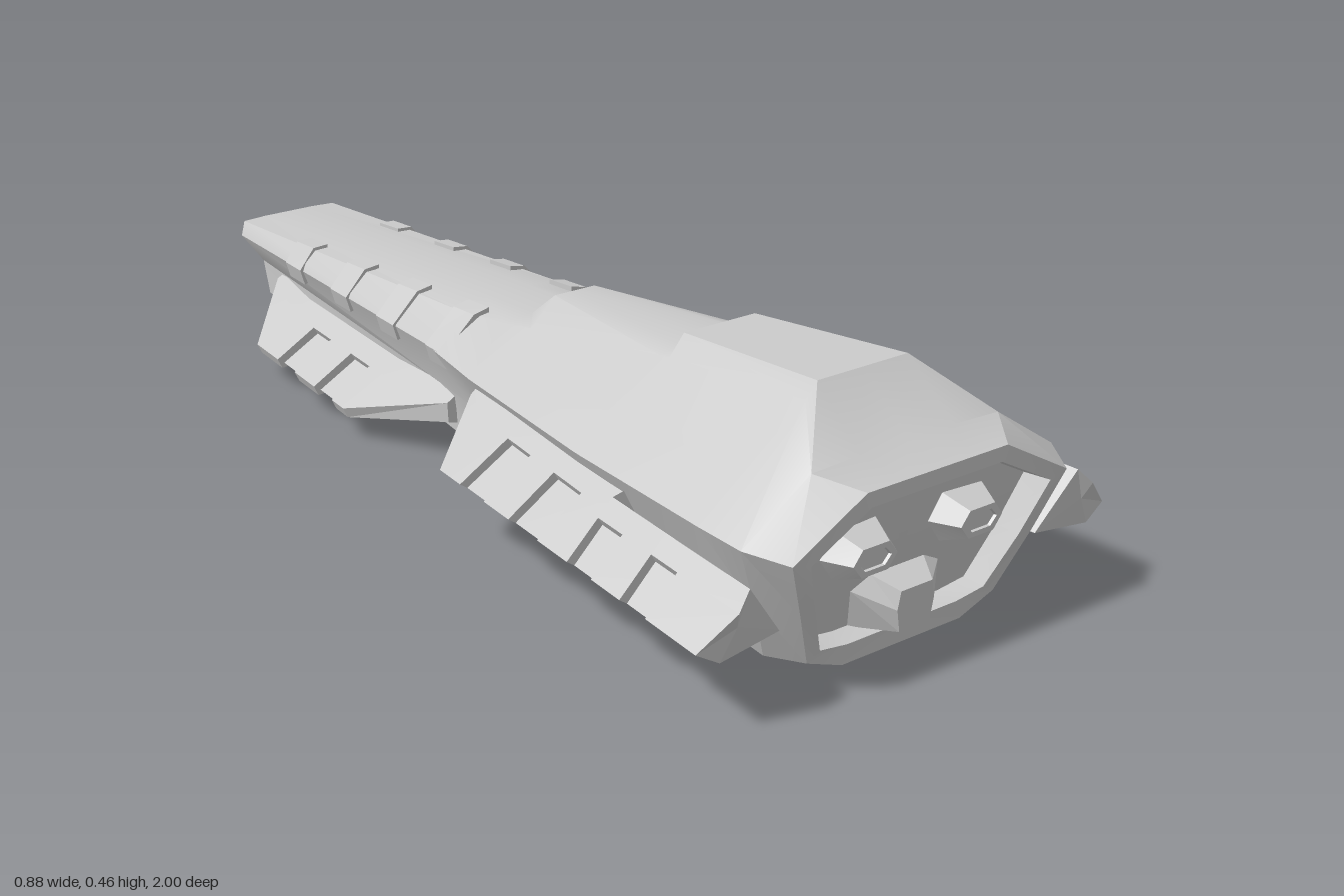
import * as THREE from 'three';
import { toCreasedNormals } from 'three/addons/utils/BufferGeometryUtils.js';

// Skin closed rings of [x, y, z], ordered front to back, clockwise seen from the front.
// alt(j) picks the other diagonal, so that both sides mirror exactly
function loft(rings, crease, alt = () => false) {
  const n = rings[0].length, pos = rings.flat(2), idx = [];
  for (let i = 0; i < rings.length - 1; i++) {
    for (let j = 0; j < n; j++) {
      const a = i * n + j, b = i * n + (j + 1) % n, c = b + n, d = a + n;
      if (alt(j)) idx.push(a, b, d, b, c, d); else idx.push(a, b, c, a, c, d);
    }
  }
  // fan caps on both ends
  [rings[0], rings[rings.length - 1]].forEach((ring, end) => {
    const c = pos.length / 3, base = end ? (rings.length - 1) * n : 0;
    for (let k = 0; k < 3; k++) pos.push(ring.reduce((s, p) => s + p[k], 0) / n);
    for (let j = 0; j < n; j++) {
      const a = base + j, b = base + (j + 1) % n;
      if (end) idx.push(c, a, b); else idx.push(c, b, a);
    }
  });
  const g = new THREE.BufferGeometry();
  g.setAttribute('position', new THREE.Float32BufferAttribute(pos, 3));
  g.setIndex(idx);
  return toCreasedNormals(g, crease);
}

const flip = rings => rings.map(r => r.map(([x, y, z]) => [-x, y, z]).reverse());
const lerp = THREE.MathUtils.lerp;

// Symmetric ring from half a section; slant moves the lower part along z
function ring(z, half, slant = 0) {
  const pts = half.map(([x, y]) =>
    [x, y, z + slant * THREE.MathUtils.clamp((0.24 - y) / 0.18, 0, 1)]);
  return [...pts, ...pts.slice(1, -1).reverse().map(([x, y, zz]) => [-x, y, zz])];
}

// Half sections: deck, deck edge, shoulder, chine, waist, low side, keel edge, keel
const tailFront = [[0, 0.297], [0.05, 0.297], [0.125, 0.287], [0.188, 0.228], [0.155, 0.14], [0.15, 0.06], [0.09, 0.015], [0, 0.007]];
const tailBack = [[0, 0.235], [0.06, 0.235], [0.112, 0.233], [0.125, 0.205], [0.085, 0.145], [0.085, 0.075], [0.05, 0.042], [0, 0.04]];

function hullRings() {
  const rim = [[0, 0.345], [0.07, 0.345], [0.15, 0.345], [0.295, 0.265], [0.252, 0.16], [0.205, 0.05], [0.13, 0.022], [0, 0.022]];
  const inner = [[0, 0.318], [0.07, 0.318], [0.14, 0.318], [0.258, 0.255], [0.222, 0.16], [0.18, 0.065], [0.12, 0.056], [0, 0.056]];
  const shrink = tailBack.map(([x, y]) => [x * 0.84, 0.15 + (y - 0.15) * 0.86]);
  return [
    ring(0.95, inner.map(([x, y]) => [x * 0.97, 0.18 + (y - 0.18) * 0.97]), -0.045),
    ring(1, inner, -0.055),
    ring(1, rim, -0.055),
    ring(0.93, [[0, 0.37], [0.1, 0.368], [0.2, 0.364], [0.335, 0.275], [0.285, 0.16], [0.237, 0.045], [0.13, 0.005], [0, 0.004]], -0.05),
    ring(0.825, [[0, 0.455], [0.097, 0.455], [0.12, 0.428], [0.33, 0.272], [0.28, 0.16], [0.233, 0.046], [0.13, 0.003], [0, 0]]),
    ring(0.48, [[0, 0.422], [0.078, 0.422], [0.108, 0.385], [0.295, 0.255], [0.245, 0.155], [0.208, 0.06], [0.12, 0.022], [0, 0.02]]),
    ring(0.455, [[0, 0.39], [0.068, 0.39], [0.108, 0.38], [0.292, 0.254], [0.243, 0.155], [0.206, 0.06], [0.12, 0.022], [0, 0.02]]),
    ring(0.07, [[0, 0.36], [0.045, 0.36], [0.1, 0.308], [0.237, 0.24], [0.19, 0.148], [0.172, 0.058], [0.1, 0.011], [0, 0.008]]),
    ring(0, [[0, 0.305], [0.045, 0.305], [0.11, 0.298], [0.22, 0.235], [0.178, 0.145], [0.166, 0.056], [0.098, 0.01], [0, 0.003]]),
    ring(-0.15, tailFront),
    ring(-1, tailBack, 0.06),
    ring(-1, shrink, 0.06),
    ring(-0.9, shrink.map(([x, y]) => [x * 0.9, y]), 0.03),
  ];
}

// Wing ring: root top, slot edge, slot floor, tip, tip underside, root underside
function wingRing(z, top, tip, low, root, cut) {
  const f = 0.32, d = cut ? 0.015 : 0;
  const mid = [lerp(top[0], tip[0], f), lerp(top[1], tip[1], f)];
  return [[...top, z], [...mid, z], [mid[0] - d * 0.6, mid[1] - d, z],
    [tip[0] - d, tip[1] - d * 0.7, z], [low[0] - d, low[1] + d * 0.2, z], [...root, z]];
}

// Stepped z stations: each slot has a doubled ring at its front and back walls
function slotted(slots, section) {
  return slots.flatMap(([a, b]) =>
    [section(a, false), section(a, true), section(b, true), section(b, false)]);
}

function frontWing() {
  // The root stands clear of the hull ahead of z = 0.6 and is buried in it behind
  const at = (z, cut) => {
    const t = (z - 0.2) / 0.77;
    const topX = z > 0.6 ? lerp(0.325, 0.355, (z - 0.6) / 0.37) : lerp(0.235, 0.29, (z - 0.2) / 0.4);
    return wingRing(z, [topX, 0.238], [lerp(0.387, 0.443, t), 0.15],
      [lerp(0.35, 0.4, t), 0.125], [lerp(0.19, 0.28, t), 0.138], cut);
  };
  const nose = at(0.96, false).map(([x, y], i) => [x, y, [0.975, 0.985, 0.985, 0.96, 0.965, 0.96][i]]);
  return [nose,
    ...slotted([[0.83, 0.76], [0.68, 0.61]], at),
    at(0.6, false),
    ...slotted([[0.52, 0.43], [0.35, 0.27]], at),
    at(0.2, false),
    wingRing(0.08, [0.215, 0.235], [0.24, 0.215], [0.24, 0.18], [0.17, 0.165], false)];
}

function rearWing() {
  const at = (z, cut) => {
    const t = (z + 0.3) / -0.4;
    return wingRing(z, [lerp(0.155, 0.125, t), 0.142], [lerp(0.285, 0.253, t), 0.068],
      [lerp(0.275, 0.243, t), 0.047], [lerp(0.14, 0.11, t), 0.06], cut);
  };
  return [
    wingRing(-0.09, [0.15, 0.142], [0.18, 0.125], [0.178, 0.085], [0.13, 0.07], false),
    at(-0.3, false),
    ...slotted([[-0.35, -0.43], [-0.52, -0.6]], at),
    at(-0.7, false),
    wingRing(-0.87, [0.09, 0.142], [0.105, 0.135], [0.1, 0.11], [0.08, 0.09], false)];
}

// Raised band over the tail shoulder
function rib(z) {
  return [z + 0.035, z - 0.035].map(zz => {
    const t = (zz + 0.15) / -0.85;
    const p = k => [0, 1].map(c => lerp(tailFront[k][c], tailBack[k][c], t));
    const [, dy] = p(1), [sx, sy] = p(2), [cx, cy] = p(3);
    return [[sx - 0.03, dy + 0.003, zz], [sx + 0.004, sy + 0.006, zz], [cx + 0.006, cy + 0.003, zz],
      [cx - 0.004, cy - 0.03, zz], [cx - 0.04, cy - 0.02, zz], [sx - 0.03, dy - 0.03, zz]];
  });
}

// Hexagonal raised port with a shallow sunken centre
function portRings(cx, cy) {
  const hex = (w, h, z) => [[-0.6, 1], [0.6, 1], [1, 0], [0.6, -1], [-0.6, -1], [-1, 0]]
    .map(([x, y]) => [cx + x * w, cy + y * h, z]);
  return [hex(0.032, 0.014, 0.985), hex(0.034, 0.015, 0.99), hex(0.046, 0.024, 0.99), hex(0.071, 0.042, 0.942)];
}

export function createModel() {
  const group = new THREE.Group();
  const grey = new THREE.MeshStandardMaterial({ color: 0xcccccc });
  grey.name = 'hull grey';
  const add = (name, geometry) => {
    const m = new THREE.Mesh(geometry, grey);
    m.name = name;
    group.add(m);
  };
  const addPair = (name, rings) => {
    add(name + 'Left', loft(rings, 0.2));
    add(name + 'Right', loft(flip(rings), 0.2, () => true));
  };

  add('hull', loft(hullRings(), 0.45, j => j < 7));
  addPair('frontWing', frontWing());
  addPair('rearWing', rearWing());
  [-0.105, -0.305, -0.505, -0.715].forEach((z, i) => addPair('tailRib' + (i + 1), rib(z)));
  addPair('bowPort', portRings(0.115, 0.22));

  // Faceted block low in the bow recess, its back following the slanted floor
  const front = [[-0.034, 0.132], [0.034, 0.132], [0.04, 0.1], [0.033, 0.06], [-0.033, 0.06], [-0.04, 0.1]];
  const back = [[-0.058, 0.15], [0.058, 0.15], [0.096, 0.13], [0.083, 0.058], [-0.083, 0.058], [-0.096, 0.13]];
  add('bowBlock', loft([front.map(p => [...p, 0.97]), back.map(([x, y]) => [x, y, 0.905 + (y - 0.06) * 0.22])], 0.2));

  return group;
}
